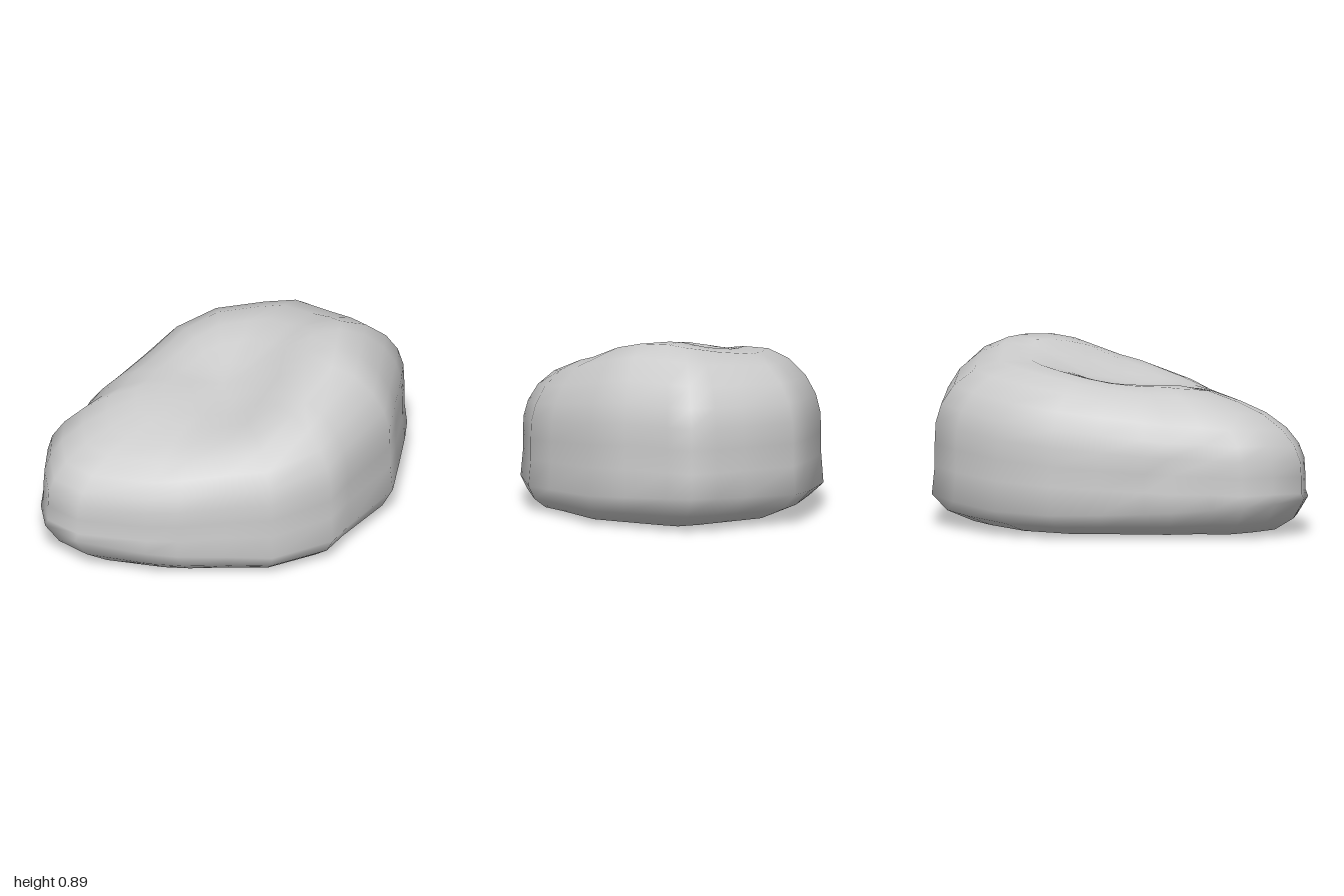
import * as THREE from 'three';

// Widest outline seen from above, counter-clockwise from +x: [x, z]
const OUTLINE = [
  [1, -0.06], [0.95, -0.19], [0.87, -0.33], [0.73, -0.58], [0.55, -0.66], [0.25, -0.74], [-0.04, -0.69],
  [-0.25, -0.57], [-0.45, -0.46], [-0.57, -0.4], [-0.72, -0.27], [-0.87, -0.21], [-0.95, -0.05],
  [-1, 0.13], [-0.91, 0.3], [-0.62, 0.5], [-0.48, 0.57], [-0.25, 0.65], [-0.04, 0.74],
  [0.29, 0.715], [0.42, 0.62], [0.72, 0.44], [0.82, 0.27], [0.94, 0.06],
];

// Rings from base to crown: [outline scale, fraction of local height]
const RINGS = [
  [0.45, 0.01], [0.81, 0.02], [0.93, 0.095], [1, 0.2], [0.985, 0.34], [0.985, 0.47], [0.98, 0.59],
  [0.95, 0.7], [0.885, 0.81], [0.775, 0.91], [0.64, 0.97], [0.48, 1], [0.33, 1], [0.17, 1],
];

const bump = (x, z, cx, cz, r) => Math.exp(-((x - cx) ** 2 + (z - cz) ** 2) / (r * r));

// Sloping crown: high left shoulder, back rim, and a hollow that opens to the front right
function crown(x, z) {
  return 0.75 + 0.13 * x - 0.04 * z
    + 0.108 * bump(x, z, 0.52, 0.14, 0.36)
    - 0.085 * bump(x, z, 0.13, 0.02, 0.3)
    - 0.05 * bump(x, z, -0.1, 0.3, 0.22)
    + 0.025 * bump(x, z, 0.12, -0.42, 0.25)
    + 0.02 * bump(x, z, -0.4, -0.05, 0.25)
    - 0.03 * bump(x, z, -0.5, 0.35, 0.25)
    + 0.03 * bump(x, z, -0.92, -0.1, 0.22);
}

function boulderGeometry() {
  const n = OUTLINE.length;
  const pos = [];
  const index = [];
  RINGS.forEach(([s, f], r) => {
    OUTLINE.forEach(([ox, oz]) => {
      // Small folds in the back right wall
      const fold = 0.025 * bump(ox, oz, -0.58, -0.38, 0.25) * bump(r, 0, 6, 0, 2) * Math.sin(ox * 22 + r * 2);
      // The base sits slightly forward
      const x = ox * (s + fold);
      const z = oz * (s + fold) + (r < 2 ? 0.05 : r === 2 ? 0.02 : 0);
      // The bevel around the base rises toward both ends
      const height = r < 4 ? 0.62 + 0.3 * x * x : crown(x, z);
      pos.push(x, height * f, z);
    });
  });
  for (let r = 0; r < RINGS.length - 1; r++) {
    for (let i = 0; i < n; i++) {
      const a = r * n + i, b = r * n + (i + 1) % n;
      index.push(a, b, b + n, a, b + n, a + n);
    }
  }
  // Close the base and the crown
  const bottom = pos.length / 3, top = bottom + 1;
  const last = (RINGS.length - 1) * n;
  pos.push(0, 0, 0.05, 0, crown(0, 0), 0);
  for (let i = 0; i < n; i++) {
    const j = (i + 1) % n;
    index.push(bottom, j, i, top, last + i, last + j);
  }
  const geometry = new THREE.BufferGeometry();
  geometry.setAttribute('position', new THREE.Float32BufferAttribute(pos, 3));
  geometry.setIndex(index);
  geometry.computeVertexNormals();
  return geometry;
}

export function createModel() {
  const group = new THREE.Group();
  group.name = 'rock';
  const boulder = new THREE.Mesh(boulderGeometry(), new THREE.MeshStandardMaterial({ color: 0xcccccc }));
  boulder.name = 'boulder';
  group.add(boulder);
  return group;
}
